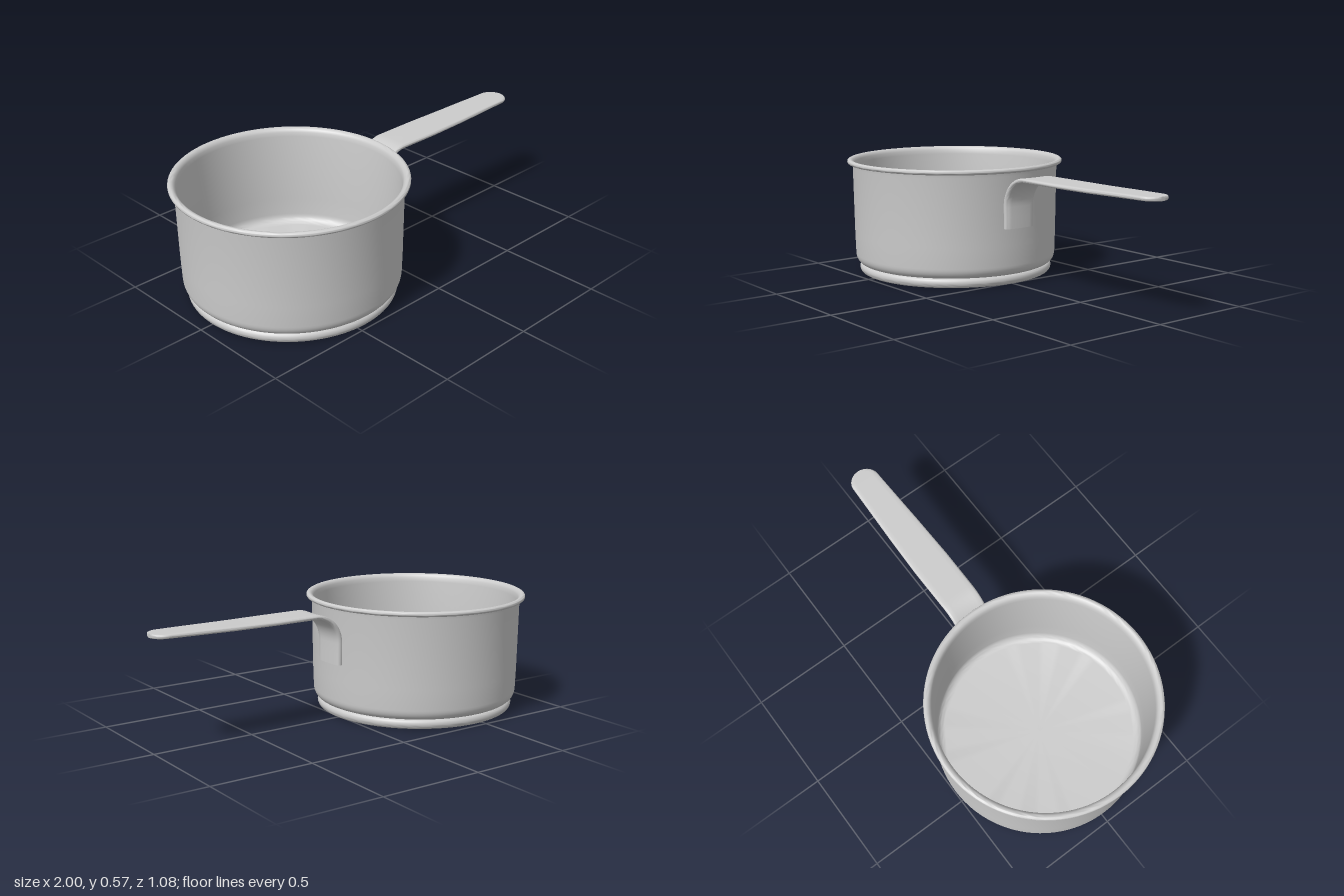
import * as THREE from 'three';
import { toCreasedNormals } from 'three/addons/utils/BufferGeometryUtils.js';

const material = new THREE.MeshStandardMaterial({ color: 0xcccccc });
const POT_X = -0.46;

// Revolved part, profile given as [radius, y] from the bottom centre outward and up
function lathe(name, profile, crease) {
  const points = profile.map(([r, y]) => new THREE.Vector2(r, y));
  const mesh = new THREE.Mesh(toCreasedNormals(new THREE.LatheGeometry(points, 96), crease), material);
  mesh.name = name;
  mesh.position.x = POT_X;
  return mesh;
}

// Half-circle bulge of profile points around (r, y), swept from angle a to b
function arc(r, y, rx, ry, a, b, steps = 8) {
  return Array.from({ length: steps + 1 }, (_, i) => {
    const t = a + (b - a) * i / steps;
    return [r + rx * Math.cos(t), y + ry * Math.sin(t)];
  });
}

// Flat strap swept along a bent path, with rounded edges and a rounded tip
function handleGeometry() {
  // stations: x, y, direction angle, half width, half thickness
  const stations = [];
  for (const y of [0.285, 0.34]) stations.push([0.06, y, Math.PI / 2, 0.085, 0.014]);
  for (let i = 0; i <= 12; i++) {
    const a = Math.PI / 2 * (1 - i / 12);
    stations.push([0.2 - 0.14 * Math.sin(a), 0.39 + 0.14 * Math.cos(a), a, 0.086 + 0.003 * i / 12, 0.014 - 0.004 * i / 12]);
  }
  stations.push([0.4, 0.53, 0, 0.09, 0.01], [0.62, 0.531, 0.01, 0.084, 0.01], [0.8, 0.534, 0.01, 0.077, 0.01]);
  for (let i = 0; i <= 10; i++) {
    const a = Math.PI / 2 * i / 10;
    stations.push([0.935 + 0.065 * Math.sin(a), 0.536, 0, 0.008 + 0.064 * Math.cos(a), 0.0095]);
  }

  // cross-section: rounded ends joined by subdivided flat faces
  const ring = (w, t) => {
    const e = Math.min(t, w), flat = w - e, pts = [];
    for (const s of [1, -1]) {
      for (let k = 0; k <= 6; k++) {
        const a = -Math.PI / 2 + Math.PI * k / 6;
        pts.push([s * (flat + e * Math.cos(a)), s * t * Math.sin(a)]);
      }
      for (let k = 1; k < 8; k++) pts.push([s * flat * (1 - k / 4), s * t]);
    }
    return pts;
  };

  const pos = [], idx = [];
  let n = 0;
  for (const [x, y, a, w, t] of stations) {
    const pts = ring(w, t);
    n = pts.length;
    for (const [z, h] of pts) {
      // the lower end hugs the round wall
      const d = h + z * z / 1.02 * Math.sin(a);
      pos.push(x - d * Math.sin(a), y + d * Math.cos(a), z);
    }
  }
  const last = stations.length - 1;
  for (let i = 0; i < last; i++) {
    for (let j = 0; j < n; j++) {
      const a = i * n + j, d = i * n + (j + 1) % n;
      idx.push(a, a + n, d, a + n, d + n, d);
    }
  }
  // end caps
  for (const [i, flip] of [[0, false], [last, true]]) {
    const c = pos.length / 3;
    pos.push(stations[i][0], stations[i][1], 0);
    for (let j = 0; j < n; j++) {
      const a = i * n + j, b = i * n + (j + 1) % n;
      idx.push(c, flip ? b : a, flip ? a : b);
    }
  }
  const g = new THREE.BufferGeometry();
  g.setAttribute('position', new THREE.Float32BufferAttribute(pos, 3));
  g.setIndex(idx);
  return toCreasedNormals(g, 0.75);
}

export function createModel() {
  const group = new THREE.Group();
  group.name = 'saucepan';

  // thick base disc with a rounded edge
  group.add(lathe('baseDisc', [
    [0, 0.003], ...arc(0.467, 0.027, 0.02, 0.024, -Math.PI / 2, Math.PI / 2, 10), [0, 0.051],
  ], 0.6));

  // pot body: outer wall, rolled lip, inner wall and floor
  group.add(lathe('potBody', [
    [0, 0.048], [0.46, 0.05],
    ...arc(0.469, 0.1, 0.037, 0.05, -Math.PI / 2, 0, 8),
    [0.509, 0.2], [0.514, 0.535], [0.516, 0.549],
    ...arc(0.528, 0.563, 0.013, 0.012, -Math.PI / 2, Math.PI / 2, 10),
    [0.52, 0.573], [0.511, 0.566], [0.506, 0.555], [0.503, 0.535], [0.497, 0.2],
    ...arc(0.455, 0.115, 0.04, 0.045, 0, -Math.PI / 2, 8),
    [0, 0.07],
  ], 0.9));

  // bent strap handle
  const handle = new THREE.Mesh(handleGeometry(), material);
  handle.name = 'handle';
  group.add(handle);
  return group;
}
